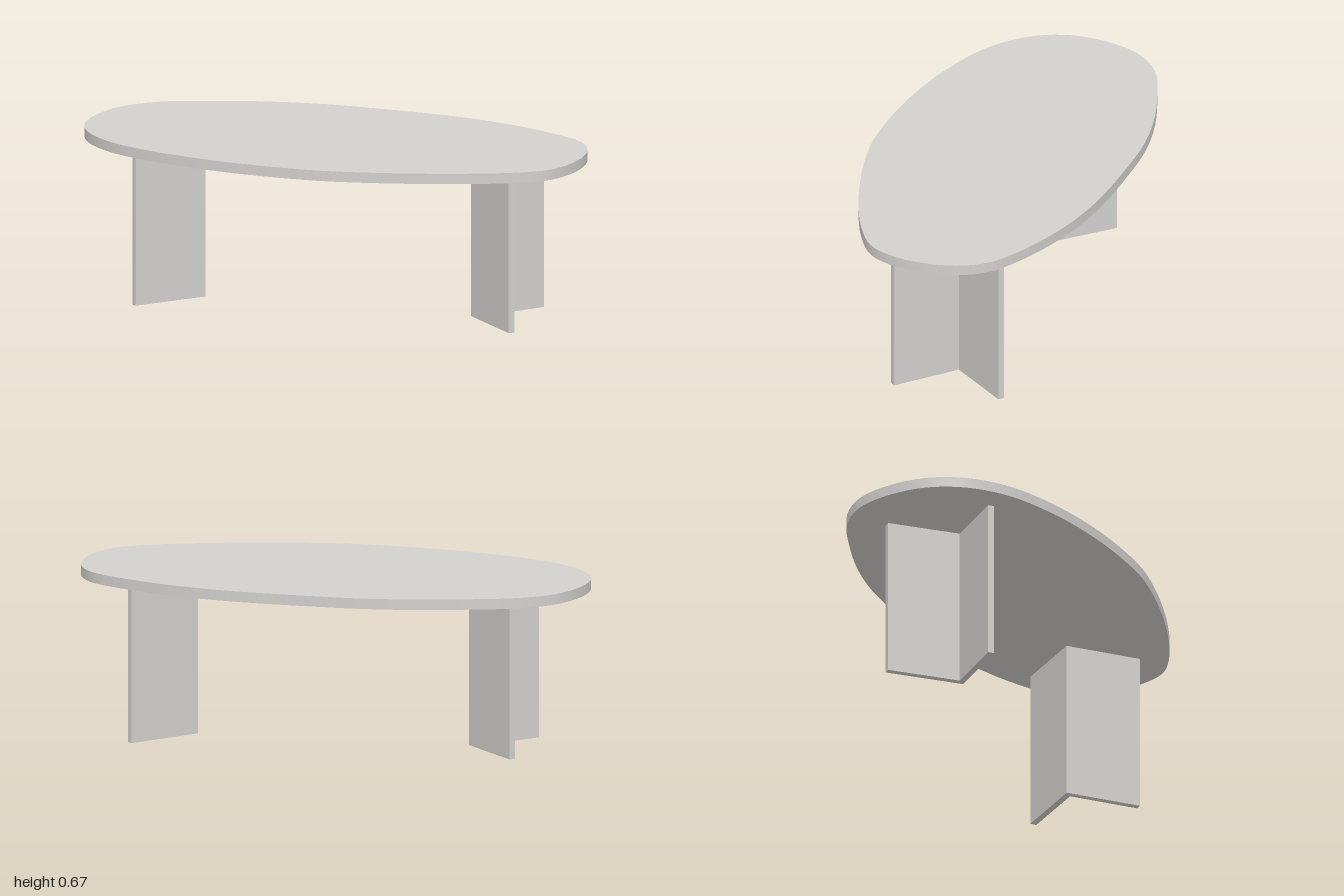
import * as THREE from 'three';
import { toCreasedNormals } from 'three/addons/utils/BufferGeometryUtils.js';

const TOP_Y = 0.667;
const LEG_H = 0.626;

// Extrude a floor-plan outline of [x, z] points upwards from y0 to y1.
function extrudePlan(points, y0, y1) {
  const shape = new THREE.Shape(points.map(([x, z]) => new THREE.Vector2(x, -z)));
  const geometry = new THREE.ExtrudeGeometry(shape, { depth: y1 - y0, bevelEnabled: false });
  geometry.rotateX(-Math.PI / 2);
  geometry.translate(0, y0, 0);
  return geometry;
}

export function createModel() {
  const group = new THREE.Group();
  group.name = 'coffeeTable';

  const stone = new THREE.MeshStandardMaterial({ color: 0xd2d0cd });
  stone.name = 'paleWarmGrey';

  // Tabletop: irregular pebble outline, smoothed with a closed curve
  const outline = [
    [-1, -0.01], [-0.98, 0.1], [-0.92, 0.205], [-0.8, 0.31], [-0.6, 0.4],
    [-0.4, 0.455], [-0.2, 0.488], [0.05, 0.503], [0.2, 0.49], [0.4, 0.453],
    [0.6, 0.4], [0.8, 0.325], [0.92, 0.25], [0.975, 0.155], [1, 0.02],
    [0.982, -0.12], [0.92, -0.227], [0.8, -0.31], [0.6, -0.4], [0.4, -0.457],
    [0.2, -0.487], [0, -0.502], [-0.2, -0.508], [-0.4, -0.487], [-0.6, -0.44],
    [-0.8, -0.37], [-0.92, -0.27], [-0.977, -0.155],
  ];
  const curve = new THREE.CatmullRomCurve3(
    outline.map(([x, z]) => new THREE.Vector3(x, 0, z)), true, 'centripetal');
  const smooth = curve.getSpacedPoints(140).slice(0, -1).map((p) => [p.x, p.z]);
  const top = new THREE.Mesh(
    toCreasedNormals(extrudePlan(smooth, LEG_H, TOP_Y), Math.PI / 5), stone);
  top.name = 'tabletop';
  group.add(top);

  // Legs: V-shaped pairs of panels, opening outwards at each end
  const vPlan = [
    [0.548, 0], [0.7655, 0.2176], [0.783, 0.2],
    [0.583, 0], [0.777, -0.219], [0.759, -0.2365],
  ];
  const plans = {
    leftLeg: vPlan,
    rightLeg: vPlan.map(([x, z]) => [0.026 - x, z]),
  };
  for (const [name, plan] of Object.entries(plans)) {
    const leg = new THREE.Mesh(extrudePlan(plan, 0, LEG_H), stone);
    leg.name = name;
    group.add(leg);
  }

  return group;
}
